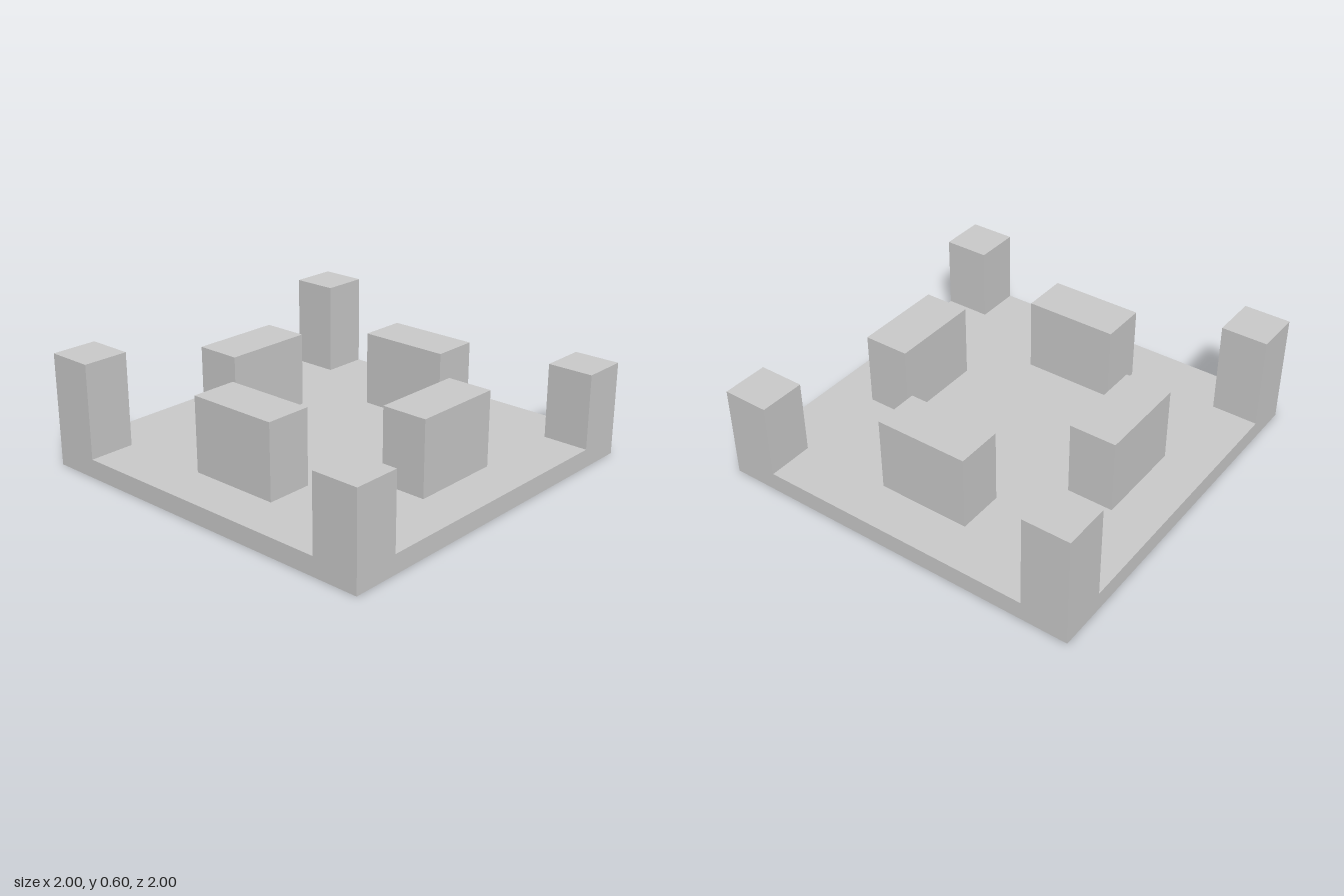
import * as THREE from 'three';

const BASE = 0.1; // thickness of the base plate

export function createModel() {
  const model = new THREE.Group();
  model.name = 'courtyard';
  const material = new THREE.MeshStandardMaterial({ color: 0xcccccc, flatShading: true });

  // Box standing on height y0 and reaching up to y1
  const addBlock = (name, width, depth, x, z, y0, y1) => {
    const mesh = new THREE.Mesh(new THREE.BoxGeometry(width, y1 - y0, depth), material);
    mesh.position.set(x, (y0 + y1) / 2, z);
    mesh.name = name;
    model.add(mesh);
  };

  // Square base plate
  addBlock('basePlate', 2, 2, 0, 0, 0, BASE);

  for (const side of [-1, 1]) {
    // Corner pillars, taller on the -x side
    const top = side < 0 ? 0.6 : 0.5;
    for (const end of [-1, 1]) {
      const name = (end > 0 ? 'front' : 'back') + (side > 0 ? 'Left' : 'Right') + 'Pillar';
      addBlock(name, 0.25, 0.25, side * 0.875, end * 0.875, BASE, top);
    }

    // Inner ring of four blocks, one facing each edge
    addBlock(side > 0 ? 'leftBlock' : 'rightBlock', 0.25, 0.5, side * 0.625, 0, BASE, 0.5);
    addBlock(side > 0 ? 'frontBlock' : 'backBlock', 0.5, 0.25, 0, side * 0.625, BASE, 0.5);
  }

  return model;
}
